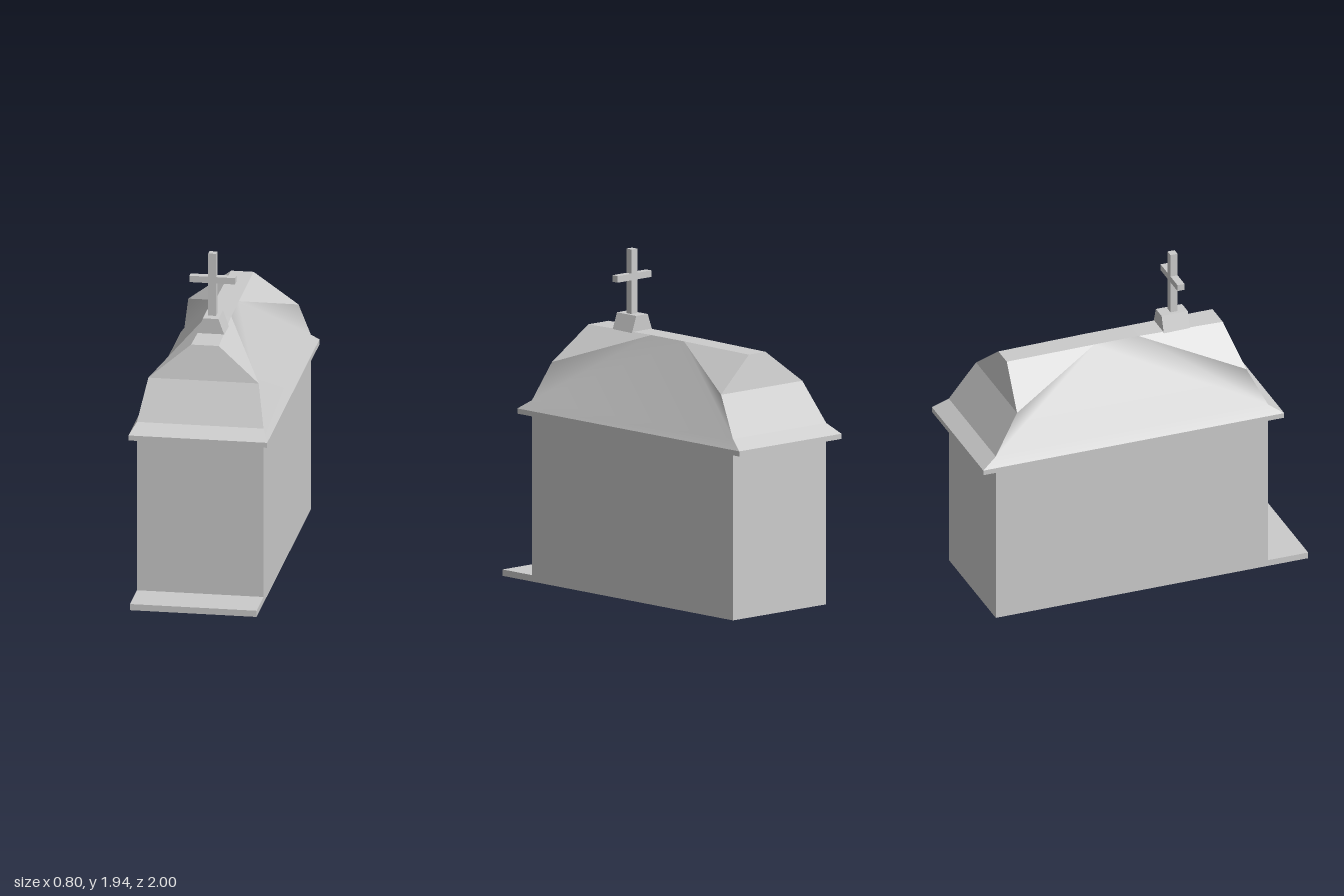
import * as THREE from 'three';

const material = new THREE.MeshStandardMaterial({ color: 0xcccccc, side: THREE.DoubleSide });
const flat = new THREE.MeshStandardMaterial({ color: 0xcccccc, side: THREE.DoubleSide, flatShading: true });

// Box given by its min and max corners
function box(name, [x0, y0, z0], [x1, y1, z1]) {
  const mesh = new THREE.Mesh(new THREE.BoxGeometry(x1 - x0, y1 - y0, z1 - z0), flat);
  mesh.position.set((x0 + x1) / 2, (y0 + y1) / 2, (z0 + z1) / 2);
  mesh.name = name;
  return mesh;
}

// Surface from shared points and polygon faces; flip reverses the winding
function surface(name, points, faces, flip, mat) {
  const index = [];
  for (const f of faces) {
    for (let i = 1; i < f.length - 1; i++) {
      index.push(f[0], ...(flip ? [f[i + 1], f[i]] : [f[i], f[i + 1]]));
    }
  }
  const geometry = new THREE.BufferGeometry();
  geometry.setAttribute('position', new THREE.Float32BufferAttribute(points.flat(), 3));
  geometry.setIndex(index);
  geometry.computeVertexNormals();
  const mesh = new THREE.Mesh(geometry, mat);
  mesh.name = name;
  return mesh;
}

// Hip profiles [x, y, z] from eave to ridge, at the front and back corners
const frontHip = [[0.4, 0.995, 0.84], [0.365, 1.05, 0.755], [0.318, 1.28, 0.64], [0.08, 1.475, 0.59]];
const backHip = [[0.4, 0.995, -1], [0.365, 1.05, -0.91], [0.318, 1.28, -0.762], [0.065, 1.475, -0.725]];
// Points where the side slopes reach the ridge
const ridgeFront = [0.068, 1.48, 0.08];
const ridgeBack = [0.068, 1.48, -0.19];

function createRoof() {
  const roof = new THREE.Group();
  roof.name = 'roof';
  roof.add(box('eaves', [-0.4, 0.965, -1], [0.4, 0.995, 0.84]));

  // Hipped ends, stepping up from eave to ridge
  for (const [name, hip, flip] of [['frontHipEnd', frontHip, false], ['backHipEnd', backHip, true]]) {
    const points = hip.flatMap(([x, y, z]) => [[-x, y, z], [x, y, z]]);
    roof.add(surface(name, points, [[0, 1, 3, 2], [2, 3, 5, 4], [4, 5, 7, 6]], flip, flat));
  }

  for (const s of [1, -1]) {
    const side = s > 0 ? 'left' : 'right';
    const mirror = (pts) => pts.map(([x, y, z]) => [s * x, y, z]);
    // Long side slope, flared at the eave
    const slope = [frontHip[0], backHip[0], frontHip[1], backHip[1], frontHip[2], backHip[2], ridgeFront, ridgeBack];
    roof.add(surface(side + 'Slope', mirror(slope),
      [[0, 1, 3, 2], [2, 3, 7, 6], [2, 6, 4], [3, 5, 7]], s < 0, material));
    // Upper shoulders between the hips and the ridge
    roof.add(surface(side + 'FrontShoulder', mirror([frontHip[2], ridgeFront, frontHip[3]]), [[0, 1, 2]], s < 0, flat));
    roof.add(surface(side + 'BackShoulder', mirror([backHip[2], backHip[3], ridgeBack]), [[0, 1, 2]], s < 0, flat));
  }

  // Flat ridge strip
  const ridge = [frontHip[3], ridgeFront, ridgeBack, backHip[3]].flatMap(([x, y, z]) => [[-x, y, z], [x, y, z]]);
  roof.add(surface('ridge', ridge, [[0, 1, 3, 2], [2, 3, 5, 4], [4, 5, 7, 6]], false, flat));
  return roof;
}

function createCross() {
  const cross = new THREE.Group();
  cross.name = 'cross';
  // Tapered pedestal straddling the ridge
  const profile = new THREE.Shape([[-0.08, 1.47], [0.08, 1.47], [0.045, 1.567], [-0.045, 1.567]]
    .map(([x, y]) => new THREE.Vector2(x, y)));
  const pedestal = new THREE.Mesh(new THREE.ExtrudeGeometry(profile, { depth: 0.16, bevelEnabled: false }), flat);
  pedestal.position.z = 0.23;
  pedestal.name = 'crossPedestal';
  cross.add(
    pedestal,
    box('crossPost', [-0.023, 1.56, 0.293], [0.023, 1.94, 0.336]),
    box('crossArm', [-0.132, 1.762, 0.293], [0.132, 1.8, 0.336]),
  );
  return cross;
}

export function createModel() {
  const model = new THREE.Group();
  model.name = 'chapel';
  model.add(
    box('walls', [-0.365, 0, -0.91], [0.365, 0.97, 0.755]),
    box('frontStep', [-0.365, 0, 0.755], [0.365, 0.037, 1]),
    createRoof(),
    createCross(),
  );
  return model;
}
